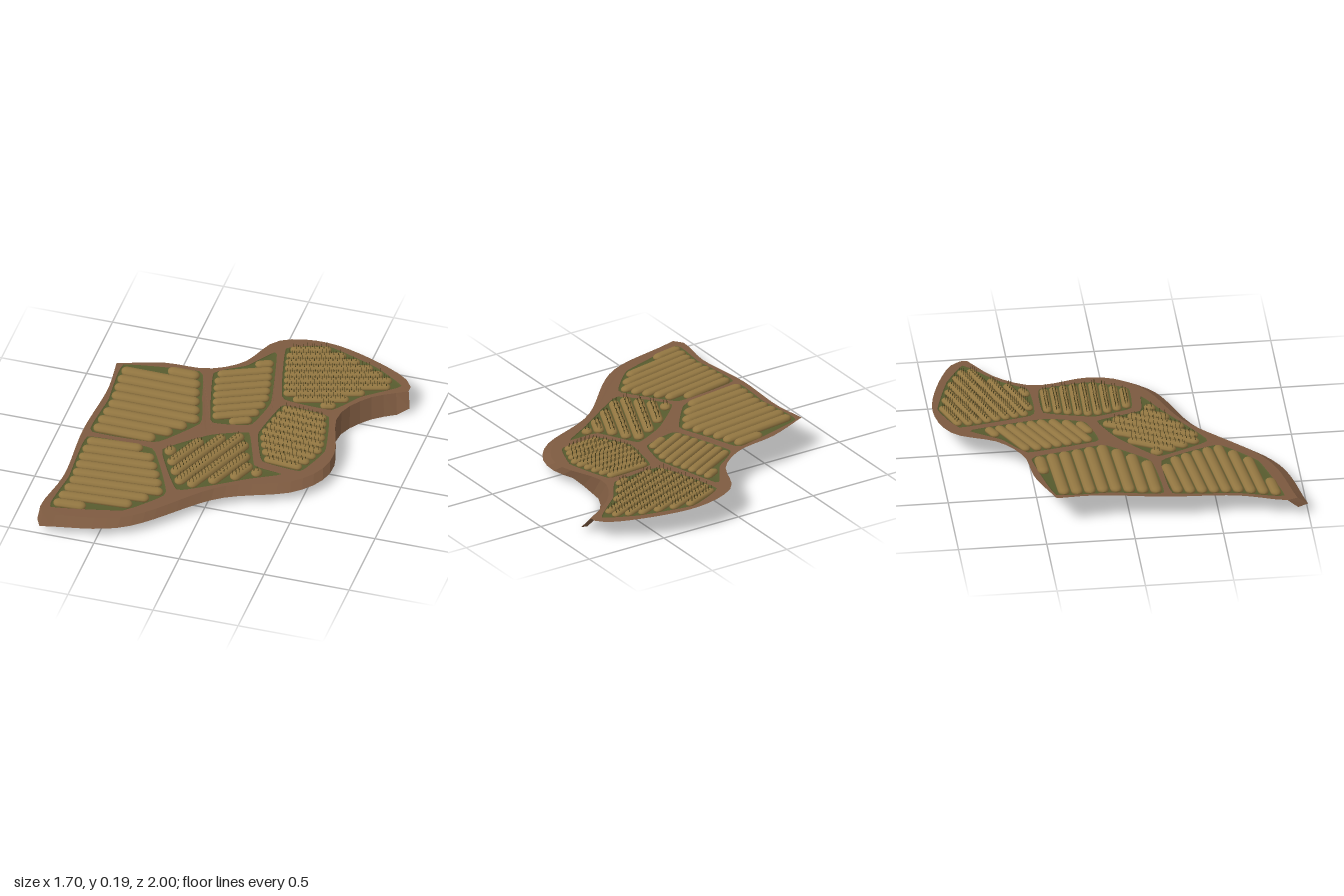
import * as THREE from 'three';
import { mergeGeometries } from 'three/addons/utils/BufferGeometryUtils.js';

// Gently sloping land, highest at the back left
const landHeight = (x, z) => 0.117 - 0.05 * (x + z) - 0.02 * z * z;

// Plot edges as [x, z] points
const LEFT_EDGE = [[-0.82, 0.94], [-0.85, 0.89], [-0.8, 0.6], [-0.81, 0.2], [-0.78, -0.2], [-0.8, -0.42]];
const BACK_EDGE = [[-0.8, -0.42], [-0.55, -0.515], [-0.3, -0.55], [-0.13, -0.67], [0, -0.92], [0.28, -1],
  [0.76, -0.85], [0.82, -0.78]];
const BANK_EDGE = [[0.82, -0.74], [0.62, -0.6], [0.51, -0.4], [0.585, -0.08], [0.56, 0.07], [0.44, 0.22],
  [0.07, 0.4], [-0.38, 0.82], [-0.82, 0.94]];

// Fields: corners, row direction (x, z), number of ridges, whether stalks stand on them
const FIELDS = [
  { name: 'backLeftField', dir: [1, -0.05], rows: 9, stalks: false, corners: [
    [-0.76, -0.42], [-0.33, -0.51], [-0.26, -0.3], [-0.2, -0.08], [-0.39, 0.16], [-0.77, 0.19], [-0.75, -0.1]] },
  { name: 'frontLeftField', dir: [1, -0.12], rows: 9, stalks: false, corners: [
    [-0.77, 0.24], [-0.39, 0.22], [-0.21, 0.56], [-0.4, 0.77], [-0.8, 0.87], [-0.77, 0.6]] },
  { name: 'middleBackField', dir: [1, -0.5], rows: 10, stalks: false, corners: [
    [-0.26, -0.52], [-0.1, -0.65], [0.02, -0.82], [0.12, -0.38], [0.07, -0.16], [-0.15, -0.11]] },
  { name: 'backRightField', dir: [1, -0.36], rows: 10, stalks: true, corners: [
    [0.06, -0.87], [0.28, -0.97], [0.58, -0.885], [0.77, -0.77], [0.58, -0.6], [0.46, -0.435], [0.17, -0.44]] },
  { name: 'rightField', dir: [1, 0.02], rows: 9, stalks: true, corners: [
    [0.19, -0.38], [0.46, -0.375], [0.53, -0.08], [0.45, 0.13], [0.22, 0.12], [0.13, -0.1]] },
  { name: 'middleFrontField', dir: [0.45, -1], rows: 9, stalks: true, corners: [
    [0.08, -0.09], [0.19, 0.17], [0.36, 0.19], [0.19, 0.29], [-0.16, 0.51], [-0.34, 0.21], [-0.12, 0]] }
];

const earth = new THREE.MeshStandardMaterial({ color: 0x7d5a40, side: THREE.DoubleSide, flatShading: true });
const grass = new THREE.MeshStandardMaterial({ color: 0x575b2e, side: THREE.DoubleSide });
const soil = new THREE.MeshStandardMaterial({ color: 0x927641 });
const stalk = new THREE.MeshStandardMaterial({ color: 0x544a22, side: THREE.DoubleSide });

function mesh(geometry, material, name) {
  const m = new THREE.Mesh(geometry, material);
  m.name = name;
  return m;
}

// Raise every vertex by the land height below it
function drape(geometry) {
  const p = geometry.attributes.position;
  for (let i = 0; i < p.count; i++) p.setY(i, p.getY(i) + landHeight(p.getX(i), p.getZ(i)));
  geometry.computeVertexNormals();
  return geometry;
}

// Evenly spaced [x, z] points on a smooth curve
function smooth(points, count, closed, type) {
  const curve = new THREE.CatmullRomCurve3(points.map(([x, z]) => new THREE.Vector3(x, 0, z)), closed, type, 0.15);
  return curve.getSpacedPoints(count).map(v => [v.x, v.z]);
}

// Surface through rows of points
function loft(rows) {
  const n = rows[0].length, index = [];
  for (let r = 0; r < rows.length - 1; r++) for (let i = 0; i < n - 1; i++) {
    const a = r * n + i, b = a + n;
    index.push(a, a + 1, b, b, a + 1, b + 1);
  }
  const g = new THREE.BufferGeometry();
  g.setAttribute('position', new THREE.Float32BufferAttribute(rows.flat(2), 3));
  g.setIndex(index);
  g.computeVertexNormals();
  return g;
}

// Concentric rings shrinking to the middle of a field
function fieldFloor(loop) {
  const cx = loop.reduce((s, p) => s + p[0], 0) / loop.length;
  const cz = loop.reduce((s, p) => s + p[1], 0) / loop.length;
  const closed = [...loop, loop[0]];
  return drape(loft([1, 0.97, 0.75, 0.5, 0.25, 0].map(k =>
    closed.map(([x, z]) => [cx + (x - cx) * k, k === 1 ? 0 : -0.006, cz + (z - cz) * k]))));
}

// Where the line v = const crosses an outline given in (u, v)
function span(loop, v) {
  const hits = [];
  loop.forEach((a, i) => {
    const b = loop[(i + 1) % loop.length];
    if ((a[1] > v) !== (b[1] > v)) hits.push(a[0] + (b[0] - a[0]) * (v - a[1]) / (b[1] - a[1]));
  });
  return hits.length ? [Math.min(...hits), Math.max(...hits)] : [0, 0];
}

function plantField(field, loop) {
  const length = Math.hypot(...field.dir), c = field.dir[0] / length, s = field.dir[1] / length;
  const local = loop.map(([x, z]) => [x * c + z * s, z * c - x * s]);
  const vs = local.map(p => p[1]);
  const low = Math.min(...vs) + 0.008, step = (Math.max(...vs) - 0.008 - low) / field.rows;
  const radius = step * 0.46, ridges = [], stalks = [];
  for (let i = 0; i < field.rows; i++) {
    const v = low + (i + 0.5) * step;
    const sides = [-0.33, 0, 0.33].map(k => span(local, v + k * step));
    const u0 = Math.max(...sides.map(q => q[0])) + 0.008, u1 = Math.min(...sides.map(q => q[1])) - 0.008;
    if (u1 - u0 < 2 * radius) continue;
    const mid = (u0 + u1) / 2;
    const ridge = new THREE.CapsuleGeometry(radius, u1 - u0 - 2 * radius, 4, 10, 10);
    ridge.rotateZ(Math.PI / 2).scale(1, 0.65, 1).rotateY(-Math.atan2(s, c));
    ridge.translate(mid * c - v * s, 0, mid * s + v * c);
    ridges.push(drape(ridge));
    // Two staggered lines of thin stalks along the crest
    if (field.stalks) for (let u = u0 + 0.02, k = 0; u < u1 - 0.015; u += 0.013, k++) {
      const w = v + (k % 2 ? 0.3 : -0.3) * radius, x = u * c - w * s, z = u * s + w * c;
      const height = 0.03 + 0.006 * Math.sin(k * 2.3 + i);
      const blade = new THREE.ConeGeometry(0.003, height, 3, 1, true);
      stalks.push(blade.translate(x, landHeight(x, z) + 0.016 + height / 2, z));
    }
  }
  const group = new THREE.Group();
  group.name = field.name;
  group.add(mesh(fieldFloor(loop), grass, 'fieldFloor'), mesh(mergeGeometries(ridges), soil, 'ploughedRidges'));
  if (stalks.length) group.add(mesh(mergeGeometries(stalks), stalk, 'cropStalks'));
  return group;
}

// Foot of the bank: set outward, dropping to the ground at the back right
function bankFoot([x, z]) {
  const footX = x + 0.03 * Math.max(0, x), footZ = z + 0.06;
  const y = 0.05 * THREE.MathUtils.smoothstep(footZ, -0.28, -0.18) + 0.03 * THREE.MathUtils.smoothstep(footX, 0.8, 0.845);
  return [footX, y, footZ];
}

export function createModel() {
  const model = new THREE.Group();
  model.name = 'farmland';
  const toVectors = points => points.map(([x, z]) => new THREE.Vector2(x, -z));
  const left = smooth(LEFT_EDGE, 20, false, 'centripetal');
  const back = smooth(BACK_EDGE, 28, false, 'centripetal');
  const front = smooth(BANK_EDGE, 36, false, 'centripetal');

  // Earth paths: the whole plot with the fields cut out
  const paths = new THREE.Shape(toVectors([...left, ...back.slice(1), ...front.slice(0, -1)]));
  for (const field of FIELDS) {
    const loop = smooth(field.corners, 56, true, 'catmullrom').slice(0, -1);
    paths.holes.push(new THREE.Path(toVectors(loop)));
    model.add(plantField(field, loop));
  }
  model.add(mesh(drape(new THREE.ShapeGeometry(paths).rotateX(-Math.PI / 2)), earth, 'earthPaths'));

  // Sloping bank along the front and right, turning the front left corner
  const crest = [...front, left[1]];
  const bank = loft([crest.map(([x, z]) => [x, landHeight(x, z), z]), crest.map(bankFoot)]);
  model.add(mesh(bank, earth, 'earthBank'));
  return model;
}
